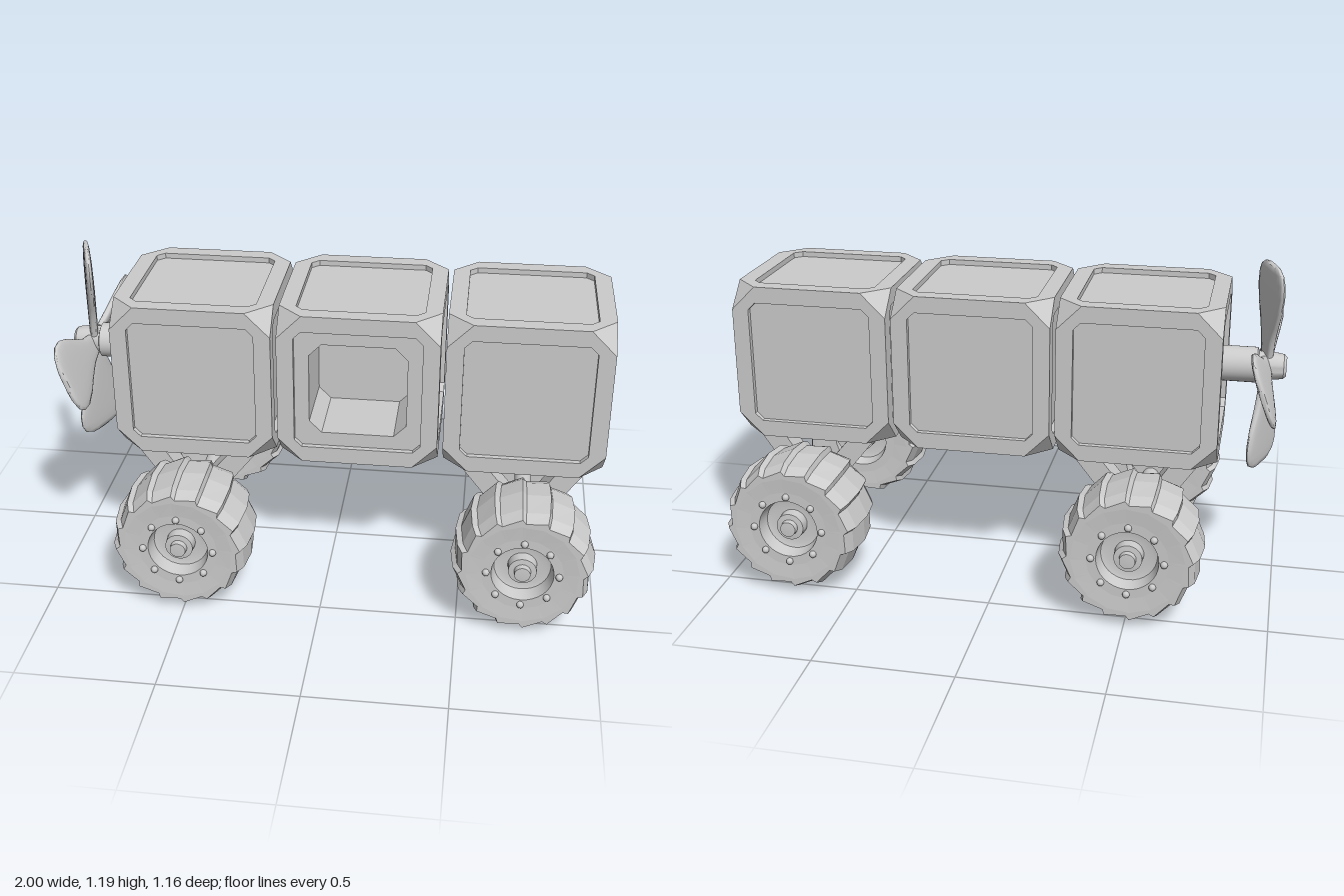
import * as THREE from 'three';
import { toCreasedNormals } from 'three/addons/utils/BufferGeometryUtils.js';

const grey = new THREE.MeshStandardMaterial({ color: 0xcccccc });
const V = (x, y, z) => new THREE.Vector3(x, y, z);

// Joins loops of equal length (counter-clockwise seen from +z) into a faceted skin
function loft(loops, capStart, capEnd) {
  const pos = [];
  const tri = (...pts) => pts.forEach(p => pos.push(p.x, p.y, p.z));
  const n = loops[0].length;
  const centre = l => l.reduce((s, p) => s.add(p), V(0, 0, 0)).divideScalar(n);
  for (let k = 0; k < loops.length - 1; k++) {
    for (let i = 0; i < n; i++) {
      const j = (i + 1) % n, a = loops[k], b = loops[k + 1];
      tri(a[i], a[j], b[j]);
      tri(a[i], b[j], b[i]);
    }
  }
  for (let i = 0; i < n; i++) {
    const j = (i + 1) % n, a = loops[0], b = loops[loops.length - 1];
    if (capStart) tri(a[j], a[i], centre(a));
    if (capEnd) tri(b[i], b[j], centre(b));
  }
  const g = new THREE.BufferGeometry();
  g.setAttribute('position', new THREE.Float32BufferAttribute(pos, 3));
  g.computeVertexNormals();
  return g;
}

function add(parent, name, geometry, x = 0, y = 0, z = 0) {
  const m = new THREE.Mesh(geometry, grey);
  m.name = name;
  m.position.set(x, y, z);
  parent.add(m);
  return m;
}

// Square with cut corners
function octagon(h, c, z) {
  const k = h - c;
  return [[h, -k], [h, k], [k, h], [-k, h], [-h, k], [-h, -k], [-k, -h], [k, -h]]
    .map(([x, y]) => V(x, y, z));
}

const H = 0.29, CUT = 0.09;

// Cube with truncated corners and a recessed panel on each side
function makeCabin(name, hasWindow) {
  const cabin = new THREE.Group();
  cabin.name = name;
  const panel = [octagon(H, CUT, H), octagon(0.229, 0.027, H), octagon(0.229, 0.027, 0.27)];
  const plain = loft(panel, false, true);
  const open = loft([...panel, octagon(0.176, 0.045, 0.27), octagon(0.176, 0.045, 0)], false, true);
  const Q = Math.PI / 2;
  [[0, 0], [0, Q], [0, 2 * Q], [0, -Q], [Q, 0], [-Q, 0]].forEach(([rx, ry], i) => {
    const isWindow = hasWindow && i === 0;
    add(cabin, isWindow ? 'windowPanel' : 'sidePanel', isWindow ? open : plain).rotation.set(rx, ry, 0);
  });
  const pos = [];
  for (const x of [1, -1]) for (const y of [1, -1]) for (const z of [1, -1]) {
    const k = H - CUT;
    const t = [[k * x, H * y, H * z], [H * x, k * y, H * z], [H * x, H * y, k * z]];
    if (x * y * z < 0) t.reverse();
    pos.push(...t.flat());
  }
  const g = new THREE.BufferGeometry();
  g.setAttribute('position', new THREE.Float32BufferAttribute(pos, 3));
  g.computeVertexNormals();
  add(cabin, 'cutCorners', g);
  return cabin;
}

// Tyre with overlapping sawtooth treads, dished rim, hub and bolts
function makeWheel() {
  const wheel = new THREE.Group();
  wheel.name = 'wheel';
  const TEETH = 16;
  const ring = ([z, r, tooth]) => {
    const pts = [];
    for (let i = 0; i < TEETH; i++) {
      for (const [f, drop] of [[0, 0.016], [0.14, 0]]) {
        const a = (i + f) / TEETH * Math.PI * 2, q = r - drop * tooth;
        pts.push(V(q * Math.cos(a), q * Math.sin(a), z));
      }
    }
    return pts;
  };
  const half = [[0.1, 0.247, 1], [0.143, 0.228, 1], [0.143, 0.2, 0.2], [0.139, 0.145, 0]];
  const back = half.map(([z, r, t]) => [-z, r, t]).reverse();
  add(wheel, 'tyre', loft([...back, [0, 0.258, 1], ...half].map(ring)));

  const rim = [[0.15, 0.138], [0.11, 0.138], [0.1, 0.085], [0.085, 0.08], [0.052, 0.08],
    [0.05, 0.12], [0.03, 0.122], [0.028, 0.143], [0, 0.145]].map(([r, z]) => new THREE.Vector2(r, z));
  const rimGeo = toCreasedNormals(new THREE.LatheGeometry(rim, 32), 0.5);
  const bolt = new THREE.SphereGeometry(0.013, 10, 8);
  for (const s of [1, -1]) add(wheel, 'rim', rimGeo).rotation.x = s * Math.PI / 2;
  for (let i = 0; i < 8; i++) {
    const a = i * Math.PI / 4;
    add(wheel, 'wheelBolt', bolt, 0.128 * Math.cos(a), 0.128 * Math.sin(a), 0.142);
  }
  return wheel;
}

function makePropeller() {
  const prop = new THREE.Group();
  prop.name = 'propeller';
  const shaft = [[0, -0.07], [0.035, -0.07], [0.045, -0.06], [0.05, -0.03], [0.052, 0.03], [0.065, 0.035], [0.065, 0.16]]
    .map(([r, y]) => new THREE.Vector2(r, y));
  add(prop, 'shaftAndHub', toCreasedNormals(new THREE.LatheGeometry(shaft, 32), 0.6)).rotation.z = -Math.PI / 2;

  // Blade sections: distance from hub, half width, half thickness
  const sections = [[0.03, 0.04, 0.015], [0.1, 0.055, 0.016], [0.16, 0.083, 0.016], [0.22, 0.115, 0.016],
    [0.28, 0.135, 0.015], [0.325, 0.132, 0.014], [0.355, 0.114, 0.012], [0.374, 0.075, 0.009], [0.38, 0.04, 0.004]];
  const blunt = v => Math.sign(v) * Math.abs(v) ** 0.7;
  const loops = sections.map(([r, w, t]) => Array.from({ length: 24 }, (_, i) => {
    const a = i / 24 * Math.PI * 2;
    return V(t * blunt(Math.cos(a)), w * blunt(Math.sin(a)) - 0.008, r);
  }));
  const blade = toCreasedNormals(loft(loops, true, true), 0.9);
  blade.rotateZ(0.34);
  for (let i = 0; i < 4; i++) add(prop, 'blade', blade).rotation.x = i * Math.PI / 2;
  return prop;
}

// V-shaped strut: tip under the axle, tops centred on the cabin at an offset
function makeStrutGeometry(offset) {
  const outline = [[0, 0.2], [0.232 + offset, 0.515], [0.137 + offset, 0.515], [0, 0.33],
    [-0.137 + offset, 0.515], [-0.232 + offset, 0.515]];
  const shape = new THREE.Shape(outline.map(([x, y]) => new THREE.Vector2(x, y)));
  return new THREE.ExtrudeGeometry(shape, { depth: 0.083, bevelEnabled: false }).translate(0, 0, -0.0415);
}

export function createModel() {
  const model = new THREE.Group();
  model.name = 'propellerVehicle';

  // Three cabins in a row
  [['rearCabin', -0.49], ['middleCabin', 0.11], ['frontCabin', 0.71]].forEach(([name, x], i) => {
    const cabin = makeCabin(name, i === 1);
    cabin.position.set(x, 0.79, 0);
    model.add(cabin);
  });

  // Two axles with wheels and V-shaped struts
  const axleGeo = new THREE.CylinderGeometry(0.032, 0.032, 0.72, 24);
  for (const [x, offset] of [[-0.507, 0.017], [0.727, -0.017]]) {
    const truck = new THREE.Group();
    truck.name = 'wheelAssembly';
    truck.position.x = x;
    model.add(truck);
    add(truck, 'axle', axleGeo, 0, 0.257, 0).rotation.x = Math.PI / 2;
    const strutGeo = makeStrutGeometry(offset);
    for (const s of [1, -1]) {
      const wheel = makeWheel();
      wheel.position.set(0, 0.259, s * 0.428);
      if (s < 0) wheel.rotation.y = Math.PI;
      truck.add(wheel);
      add(truck, 'strut', strutGeo, 0, 0, s * 0.222);
    }
  }

  const prop = makePropeller();
  prop.position.set(-0.93, 0.81, 0);
  model.add(prop);
  return model;
}
